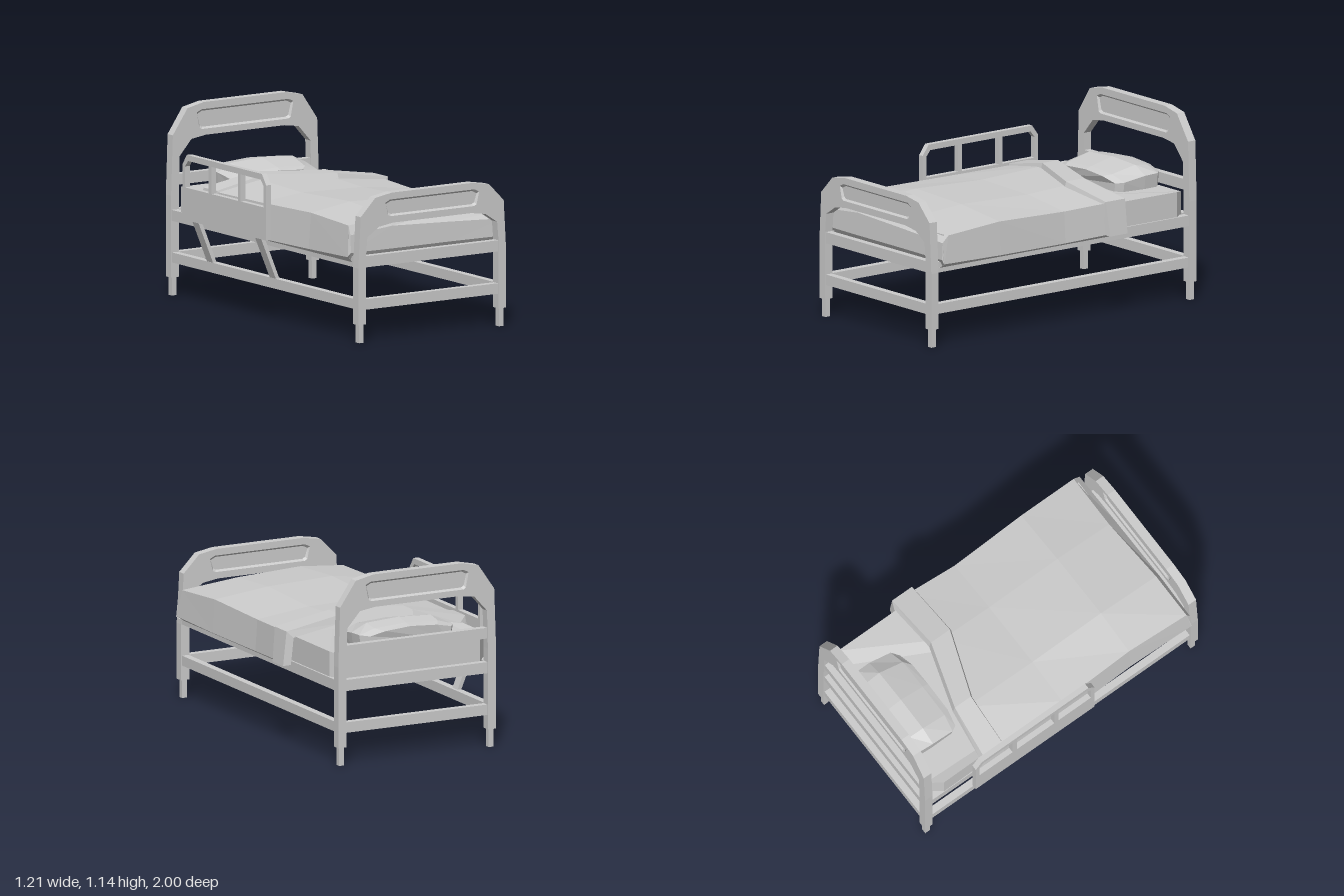
import * as THREE from 'three';

const mat = new THREE.MeshStandardMaterial({ color: 0xcccccc, flatShading: true, side: THREE.DoubleSide });
const CX = 0.0135; // middle of the frame
const LEG_X = [-0.487, 0.514];

function add(parent, name, geo, x = 0, y = 0, z = 0) {
  const m = new THREE.Mesh(geo, mat);
  m.name = name;
  m.position.set(x, y, z);
  parent.add(m);
  return m;
}

// Box given by its limits on each axis
function block(parent, name, [x0, x1], [y0, y1], [z0, z1]) {
  return add(parent, name, new THREE.BoxGeometry(x1 - x0, y1 - y0, z1 - z0),
    (x0 + x1) / 2, (y0 + y1) / 2, (z0 + z1) / 2);
}

// Skin through rings of [x, y, z] points; winding is corrected by signed volume
function loft(rings, capStart = true, capEnd = true) {
  const tris = [];
  const n = rings[0].length;
  for (let r = 0; r < rings.length - 1; r++) {
    for (let i = 0; i < n; i++) {
      const j = (i + 1) % n;
      const [a, b, c, d] = [rings[r][i], rings[r][j], rings[r + 1][j], rings[r + 1][i]];
      tris.push([a, b, c], [a, c, d]);
    }
  }
  const first = rings[0], last = rings[rings.length - 1];
  for (let i = 1; i < n - 1; i++) {
    if (capStart) tris.push([first[0], first[i + 1], first[i]]);
    if (capEnd) tris.push([last[0], last[i], last[i + 1]]);
  }
  let volume = 0;
  for (const [a, b, c] of tris) {
    volume += a[0] * (b[1] * c[2] - b[2] * c[1]) + a[1] * (b[2] * c[0] - b[0] * c[2]) + a[2] * (b[0] * c[1] - b[1] * c[0]);
  }
  if (volume < 0) tris.forEach((t) => t.reverse());
  const geo = new THREE.BufferGeometry();
  geo.setAttribute('position', new THREE.Float32BufferAttribute(tris.flat(2), 3));
  geo.computeVertexNormals();
  return geo;
}

const vec = (pts) => pts.map(([x, y]) => new THREE.Vector2(x, y));
// Half profile (distance from the middle, height) mirrored into a full left-to-right line
const mirrored = (half) => [...half.map(([d, y]) => [CX - d, y]), ...half.slice().reverse().map(([d, y]) => [CX + d, y])];

// Arched end board with its two legs, a shallow slot on both faces, and feet
function endBoard(name, zc, outer, inner, [w, y0, y1]) {
  const g = new THREE.Group();
  g.name = name;
  const t = 0.055;
  const shape = new THREE.Shape(vec([...mirrored(outer), ...mirrored(inner).reverse()]));
  const outline = (dx, dy) => mirrored([[w - 0.035 - dx, y0 + dy], [w - 0.018 - dx, y0 + 0.01 + dy],
    [w - dx, y1 - 0.016 - dy], [w - 0.033 - dx, y1 - dy]]);
  shape.holes.push(new THREE.Path(vec(outline(0, 0))));
  add(g, 'archedBoard', new THREE.ExtrudeGeometry(shape, { depth: t, bevelEnabled: false }), 0, 0, zc - t / 2);
  for (const s of [-1, 1]) {
    const ring = (dx, dy, z) => outline(dx, dy).map(([x, y]) => [x, y, zc + s * z]);
    add(g, 'slotRecess', loft([ring(0, 0, t / 2), ring(0.01, 0.011, t / 2 - 0.012)], false, true));
  }
  for (const x of LEG_X) block(g, 'foot', [x - 0.016, x + 0.016], [0, 0.12], [zc - 0.017, zc + 0.017]);
  return g;
}

function crossBar(parent, z, y0, y1) {
  block(parent, 'crossBar', [-0.47, 0.497], [y0, y1], [z - 0.022, z + 0.022]);
}

function createModel() {
  const bed = new THREE.Group();
  bed.name = 'bed';

  // End boards
  const foot = endBoard('footboard', 0.9725,
    [[0.5285, 0.11], [0.5285, 0.45], [0.511, 0.755], [0.407, 0.86], [0.29, 0.88]],
    [[0.4735, 0.11], [0.4735, 0.52], [0.464, 0.63], [0.38, 0.685], [0.28, 0.70]],
    [0.335, 0.74, 0.84]);
  const head = endBoard('headboard', -0.9725,
    [[0.5285, 0.11], [0.5285, 0.6], [0.516, 0.96], [0.411, 1.112], [0.295, 1.137]],
    [[0.4735, 0.11], [0.4735, 0.6], [0.468, 0.83], [0.383, 0.925], [0.28, 0.94]],
    [0.345, 0.977, 1.095]);
  bed.add(foot, head);
  for (const [board, z] of [[foot, 0.9725], [head, -0.9725]]) {
    crossBar(board, z, 0.197, 0.26);
    crossBar(board, z, 0.45, 0.517);
  }
  crossBar(head, -0.9725, 0.66, 0.725);

  // Side rails
  const frame = new THREE.Group();
  frame.name = 'frame';
  bed.add(frame);
  for (const x of LEG_X) {
    block(frame, 'lowerSideRail', [x - 0.022, x + 0.022], [0.2, 0.26], [-0.95, 0.95]);
    block(frame, 'upperSideRail', [x - 0.024, x + 0.024], [0.45, 0.515], [-0.95, 0.95]);
  }

  // Mattress with cut corners, its top dipping at the head end
  const mattressPlan = [[-0.495, 0.9], [0.53, 0.9], [0.527, -0.865], [0.465, -0.942], [-0.44, -0.942], [-0.508, -0.855]];
  const mattressTop = [0.672, 0.672, 0.667, 0.648, 0.648, 0.667];
  add(bed, 'mattress', loft([
    mattressPlan.map(([x, z]) => [x, 0.5, z]),
    mattressPlan.map(([x, z], i) => [x, mattressTop[i], z]),
  ]));

  // Blanket: sections from foot to head [z, left edge, right edge, heights left to right];
  // the hem tucks under to the rails
  const flat = (z) => Array(6).fill(z);
  const sections = [
    [flat(0.915), -0.53, 0.565, flat(0.49)],
    [[0.935, 0.94, 0.94, 0.94, 0.94, 0.935], -0.545, 0.582, [0.515, 0.535, 0.533, 0.533, 0.53, 0.505]],
    [[0.935, 0.935, 0.935, 0.935, 0.935, 0.935], -0.544, 0.58, [0.515, 0.64, 0.668, 0.65, 0.632, 0.505]],
    [[0.93, 0.91, 0.905, 0.88, 0.89, 0.93], -0.542, 0.578, [0.51, 0.695, 0.722, 0.71, 0.672, 0.505]],
    [flat(0.5), -0.527, 0.57, [0.495, 0.71, 0.75, 0.735, 0.697, 0.495]],
    [flat(0), -0.542, 0.556, [0.49, 0.70, 0.73, 0.72, 0.68, 0.49]],
    [[-0.5, -0.5, -0.48, -0.35, -0.34, -0.34], -0.545, 0.577, [0.505, 0.695, 0.745, 0.735, 0.69, 0.502]],
  ];
  add(bed, 'blanket', loft(sections.map(([z, l, r, y]) => [
    [-0.46, 0.505, z[0]], [-0.513, 0.478, z[0]],
    ...[l, l + 0.018, -0.23, 0.2, r - 0.013, r].map((x, i) => [x, y[i], z[i]]),
    [0.54, 0.478, z[5]], [0.487, 0.505, z[5]],
  ])));

  // Turned-down band: [x, y, back z, front z, inward x, inward y]
  const band = [
    [-0.565, 0.505, -0.59, -0.45, 0.045, 0.005], [-0.535, 0.705, -0.58, -0.44, 0.04, -0.04],
    [-0.2, 0.772, -0.548, -0.43, 0, -0.05], [0.215, 0.76, -0.415, -0.277, 0, -0.05],
    [0.58, 0.702, -0.43, -0.285, -0.04, -0.04], [0.603, 0.495, -0.43, -0.3, -0.045, 0.005],
  ];
  add(bed, 'blanketFold', loft(band.map(([x, y, b, f, dx, dy]) =>
    [[x, y, b], [x, y, f], [x + dx, y + dy, f + 0.016], [x + dx, y + dy, b - 0.014]])));

  // Pillow: sections from front to back [z, left, right, side height, crown height, forward bulge]
  const pillow = [
    [-0.6, -0.275, 0.275, 0.71, 0.752, 0.018], [-0.635, -0.295, 0.318, 0.718, 0.765, 0.015],
    [-0.78, -0.297, 0.335, 0.742, 0.802, 0], [-0.875, -0.292, 0.333, 0.745, 0.788, 0],
    [-0.92, -0.26, 0.285, 0.742, 0.777, -0.01],
  ];
  add(bed, 'pillow', loft(pillow.map(([z, l, r, side, crown, bulge]) => [
    [l + 0.01, 0.66, z], [l, side, z], [l + 0.1, crown - 0.012, z + bulge], [0.02, crown, z + bulge],
    [r - 0.1, crown - 0.012, z + bulge], [r, side, z], [r - 0.01, 0.66, z], [0.02, 0.66, z + bulge],
  ])));

  // Guard rail: plate with three windows, on the bed's right side
  const guard = new THREE.Group();
  guard.name = 'guardRail';
  bed.add(guard);
  const plate = new THREE.Shape(vec([[0.175, 0.505], [0.175, 0.835], [0.13, 0.897], [-0.65, 0.897], [-0.695, 0.835], [-0.695, 0.505]]));
  const sill = 0.7, lintel = 0.862;
  const windows = [
    [[0.148, sill], [0.148, 0.825], [0.118, lintel], [-0.09, lintel], [-0.09, sill]],
    [[-0.12, sill], [-0.12, lintel], [-0.395, lintel], [-0.395, sill]],
    [[-0.425, sill], [-0.425, lintel], [-0.638, lintel], [-0.668, 0.825], [-0.668, sill]],
  ];
  for (const w of windows) plate.holes.push(new THREE.Path(vec(w)));
  const plateGeo = new THREE.ExtrudeGeometry(plate, { depth: 0.034, bevelEnabled: false });
  plateGeo.rotateY(-Math.PI / 2); // shape x becomes z
  add(guard, 'guardPlate', plateGeo, -0.572);

  // Slanted struts from the lower rail up to the guard
  for (const [zTop, zBottom] of [[0.083, 0.1], [-0.568, -0.552]]) {
    const ring = (x0, x1, y, z) => [[x0, y, z - 0.032], [x1, y, z - 0.032], [x1, y, z + 0.032], [x0, y, z + 0.032]];
    add(guard, 'guardStrut', loft([ring(-0.503, -0.478, 0.25, zBottom), ring(-0.603, -0.576, 0.51, zTop)]));
  }
  return bed;
}

export { createModel };
